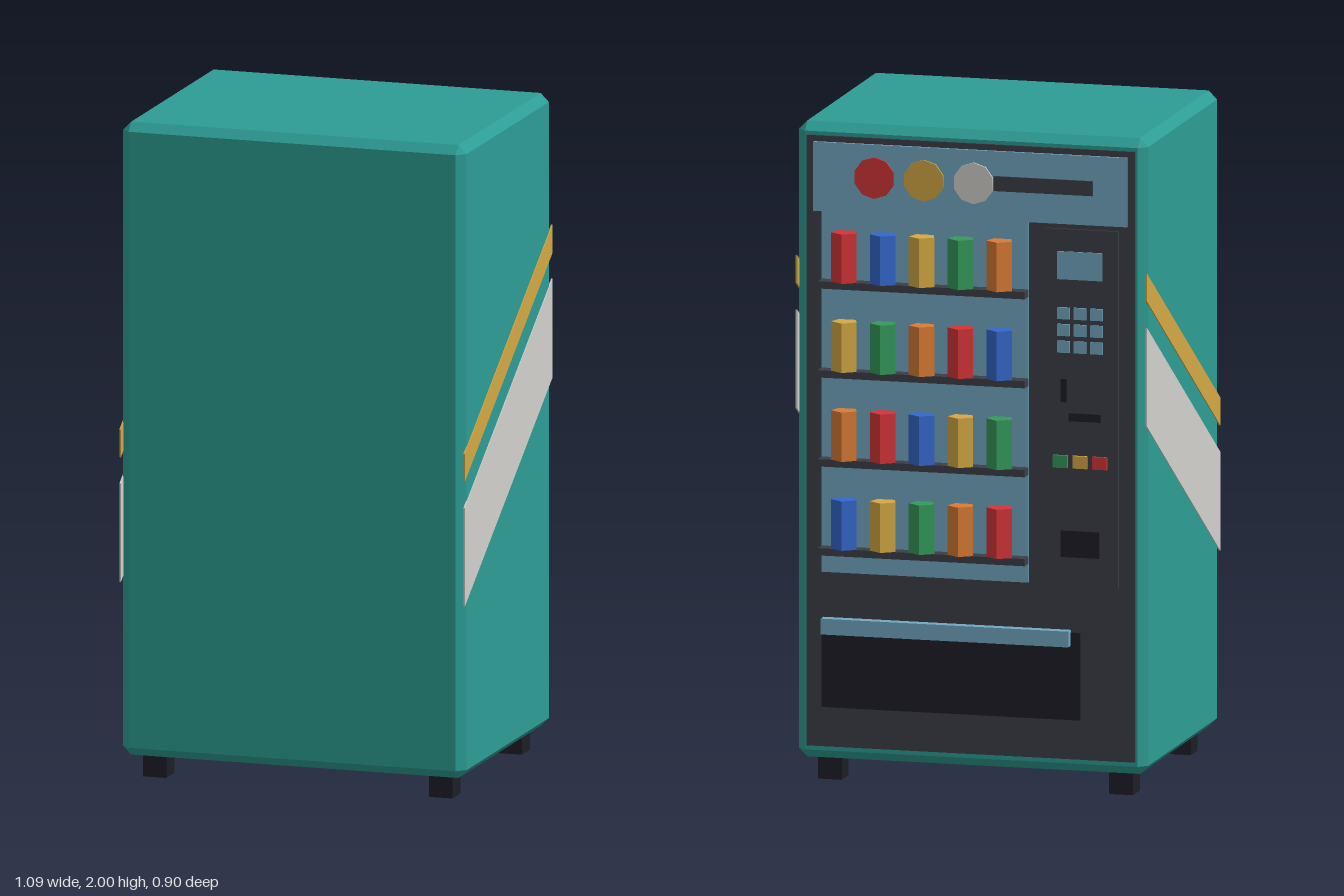
import * as THREE from 'three';
import { ConvexGeometry } from 'three/addons/geometries/ConvexGeometry.js';

const mat = (name, color) => {
  const m = new THREE.MeshStandardMaterial({ color });
  m.name = name;
  return m;
};

export function createModel() {
  const teal = mat('teal', 0x2d9d94), cream = mat('cream', 0xd3d1cc), yellow = mat('yellow', 0xd4a843);
  const charcoal = mat('charcoal', 0x3c3e47), black = mat('black', 0x1d1d26), paleBlue = mat('paleBlue', 0x74a8c4);
  const red = mat('red', 0xd43538), blue = mat('blue', 0x3468cc), green = mat('green', 0x339a5c), orange = mat('orange', 0xd97b35);

  const model = new THREE.Group();
  model.name = 'vendingMachine';
  const add = (name, geometry, material, x = 0, y = 0, z = 0) => {
    const mesh = new THREE.Mesh(geometry, material);
    mesh.name = name;
    mesh.position.set(x, y, z);
    model.add(mesh);
    return mesh;
  };
  // Box given by its x, y and z ranges
  const box = (name, material, [x0, x1], [y0, y1], [z0, z1]) =>
    add(name, new THREE.BoxGeometry(x1 - x0, y1 - y0, z1 - z0), material, (x0 + x1) / 2, (y0 + y1) / 2, (z0 + z1) / 2);
  // Small plate on the control panel, given by centre and size
  const plate = (name, material, x, y, w, h, z = -0.389) =>
    box(name, material, [x - w / 2, x + w / 2], [y - h / 2, y + h / 2], [z, -0.383]);

  // Cabinet with chamfered edges
  const half = [0.54, 0.965, 0.41], c = 0.026, corners = [];
  for (const sx of [-1, 1]) for (const sy of [-1, 1]) for (const sz of [-1, 1])
    for (let outer = 0; outer < 3; outer++) {
      const [x, y, z] = half.map((h, i) => (i === outer ? h : h - c));
      corners.push(new THREE.Vector3(sx * x, sy * y, sz * z));
    }
  add('cabinet', new ConvexGeometry(corners), teal, 0, 1.035, 0.04);

  // Feet
  for (const x of [-0.45, 0.45]) for (const z of [-0.286, 0.36])
    box('foot', black, [x - 0.037, x + 0.037], [0, 0.08], [z - 0.037, z + 0.037]);

  // Slanted side stripes: heights at the rear edge, rising to the service side
  const stripe = (name, material, low, high) => {
    const rise = 0.53;
    const shape = new THREE.Shape([[-0.45, low], [0.37, low + rise], [0.37, high + rise], [-0.45, high]]
      .map(([u, v]) => new THREE.Vector2(u, v)));
    for (const x of [0.538, -0.543]) {
      const geometry = new THREE.ExtrudeGeometry(shape, { depth: 0.005, bevelEnabled: false });
      add(name, geometry, material, x).rotation.y = Math.PI / 2;
    }
  };
  stripe('wideStripe', cream, 0.6, 0.9);
  stripe('narrowStripe', yellow, 0.98, 1.065);

  // Service face, sign and display window
  box('facePanel', charcoal, [-0.507, 0.507], [0.11, 1.963], [-0.377, -0.36]);
  box('sign', paleBlue, [-0.485, 0.485], [1.735, 1.945], [-0.386, -0.37]);
  box('displayWindow', paleBlue, [-0.18, 0.46], [0.64, 1.735], [-0.381, -0.37]);
  [[red, 0.295], [yellow, 0.142], [cream, -0.012]].forEach(([material, x]) => {
    add('signDisc', new THREE.CylinderGeometry(0.063, 0.063, 0.008, 10).toNonIndexed(), material, x, 1.845, -0.388)
      .rotation.x = Math.PI / 2;
  });
  box('signBar', charcoal, [-0.38, -0.075], [1.825, 1.87], [-0.391, -0.38]);

  // Shelves of five-sided cans, the colour order shifting on each row
  const can = new THREE.CylinderGeometry(0.0415, 0.0415, 0.15, 5).toNonIndexed();
  can.rotateY(Math.PI);
  can.computeVertexNormals();
  const order = [red, blue, yellow, green, orange];
  for (let row = 0; row < 4; row++) {
    const y = 1.53 - row * 0.27;
    box('shelf', charcoal, [-0.18, 0.46], [y - 0.022, y], [-0.425, -0.375]);
    for (let i = 0; i < 5; i++)
      add('can', can, order[(i + row * 2) % 5], 0.38 - i * 0.12, y + 0.075, -0.408);
  }

  // Control panel
  box('controlPanel', charcoal, [-0.458, -0.232], [0.64, 1.72], [-0.385, -0.37]);
  plate('screen', paleBlue, -0.34, 1.61, 0.14, 0.085);
  for (let i = 0; i < 3; i++) for (let j = 0; j < 3; j++)
    plate('key', paleBlue, -0.29 - i * 0.051, 1.465 - j * 0.051, 0.038, 0.036, -0.391);
  plate('coinSlot', black, -0.29, 1.23, 0.02, 0.07);
  plate('noteSlot', black, -0.355, 1.15, 0.1, 0.024);
  [green, yellow, red].forEach((material, i) => plate('button', material, -0.28 - i * 0.061, 1.015, 0.045, 0.038, -0.394));
  plate('coinReturn', black, -0.34, 0.765, 0.12, 0.08);

  // Delivery bin with flap
  box('deliveryBin', black, [-0.34, 0.46], [0.23, 0.495], [-0.383, -0.37]);
  box('deliveryFlap', paleBlue, [-0.31, 0.455], [0.455, 0.503], [-0.408, -0.375]);

  return model;
}
